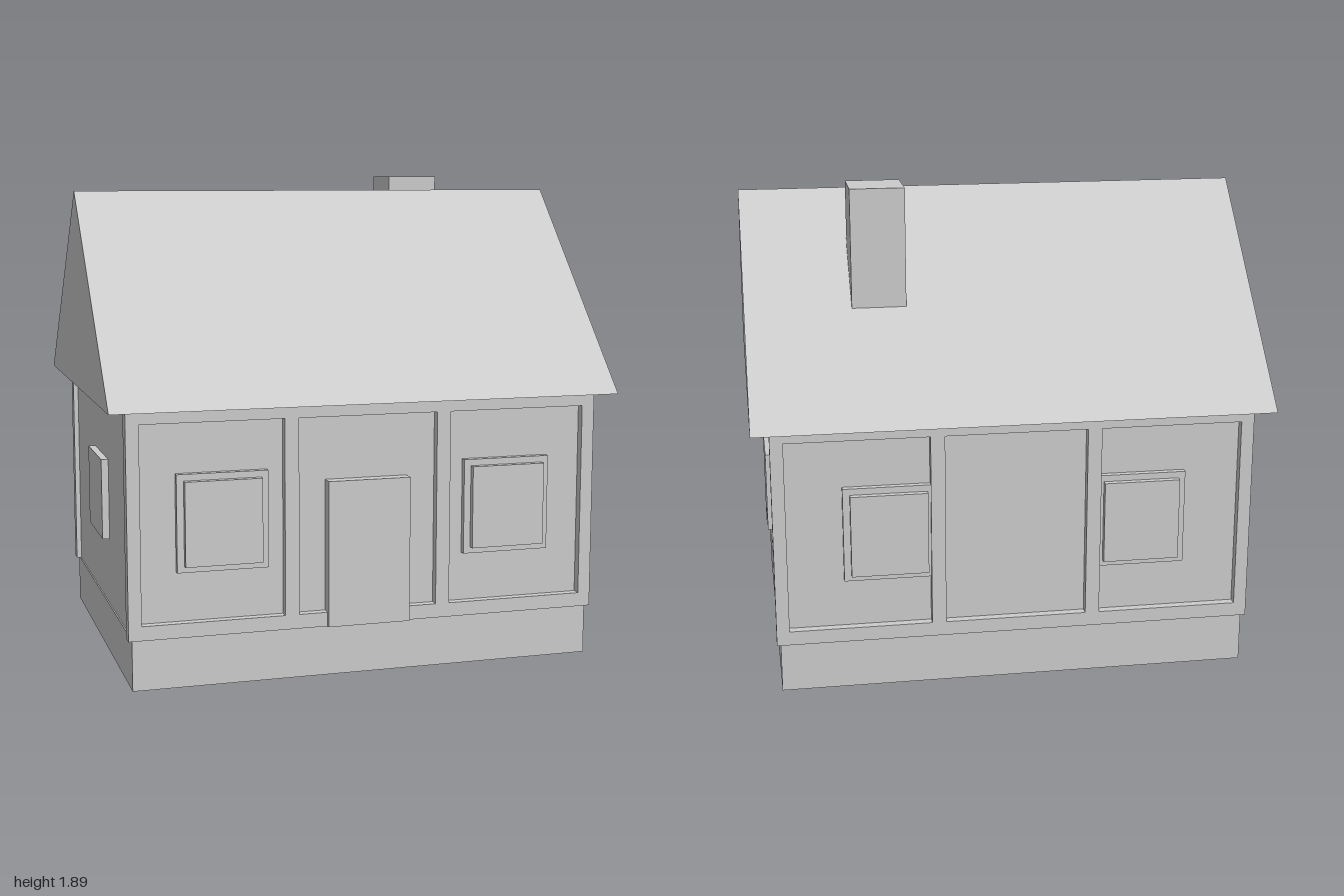
import * as THREE from 'three';

export function createModel() {
  const house = new THREE.Group();
  house.name = 'house';
  const plaster = new THREE.MeshStandardMaterial({ color: 0xcccccc });
  plaster.name = 'plain grey';

  function add(name, geometry, parent = house) {
    const mesh = new THREE.Mesh(geometry, plaster);
    mesh.name = name;
    parent.add(mesh);
    return mesh;
  }

  // Box given by its lower and upper limits on each axis
  function box(name, [x0, x1], [y0, y1], [z0, z1], parent) {
    const mesh = add(name, new THREE.BoxGeometry(x1 - x0, y1 - y0, z1 - z0), parent);
    mesh.position.set((x0 + x1) / 2, (y0 + y1) / 2, (z0 + z1) / 2);
    return mesh;
  }

  function rectangle(path, x0, x1, y0, y1) {
    return path.moveTo(x0, y0).lineTo(x1, y0).lineTo(x1, y1).lineTo(x0, y1).closePath();
  }

  // Plinth and walls
  box('plinth', [-0.915, 0.915], [0, 0.195], [-0.7, 0.7]);
  box('walls', [-0.91, 0.91], [0.19, 1.06], [-0.68, 0.68]);

  // Long sides: a frame with three openings and two windows each
  function longSide(name, windowX) {
    const side = new THREE.Group();
    side.name = name;
    const outline = rectangle(new THREE.Shape(), -0.93, 0.93, 0.195, 1.056);
    for (const x of [-0.605, 0, 0.605]) {
      outline.holes.push(rectangle(new THREE.Path(), x - 0.275, x + 0.275, 0.25, 1.005));
    }
    const frame = new THREE.ExtrudeGeometry(outline, { depth: 0.053, bevelEnabled: false });
    add('wallFrame', frame, side).position.z = 0.662;
    for (const s of [-1, 1]) {
      const x = s * windowX;
      box('windowFrame', [x - 0.175, x + 0.175], [0.44, 0.812], [0.66, 0.705], side);
      box('windowPane', [x - 0.148, x + 0.148], [0.465, 0.787], [0.66, 0.73], side);
    }
    house.add(side);
    return side;
  }
  const front = longSide('frontSide', 0.567);
  box('door', [-0.163, 0.163], [0.195, 0.76], [0.66, 0.73], front);
  longSide('backSide', 0.49).rotation.y = Math.PI;

  // Gable-end windows
  for (const s of [-1, 1]) {
    box('sideWindow', [s * 0.92 - 0.018, s * 0.92 + 0.018], [0.465, 0.787], [-0.173, 0.173]);
  }

  // Roof prism, extruded along x
  const gable = new THREE.Shape([
    new THREE.Vector2(-0.783, 1.056),
    new THREE.Vector2(0.783, 1.056),
    new THREE.Vector2(0, 1.84),
  ]);
  const roof = new THREE.ExtrudeGeometry(gable, { depth: 2, bevelEnabled: false });
  roof.translate(0, 0, -1).rotateY(Math.PI / 2);
  add('roof', roof);

  // Chimney on the rear slope
  box('chimney', [0.38, 0.59], [1.3, 1.895], [-0.403, -0.192]);

  return house;
}
